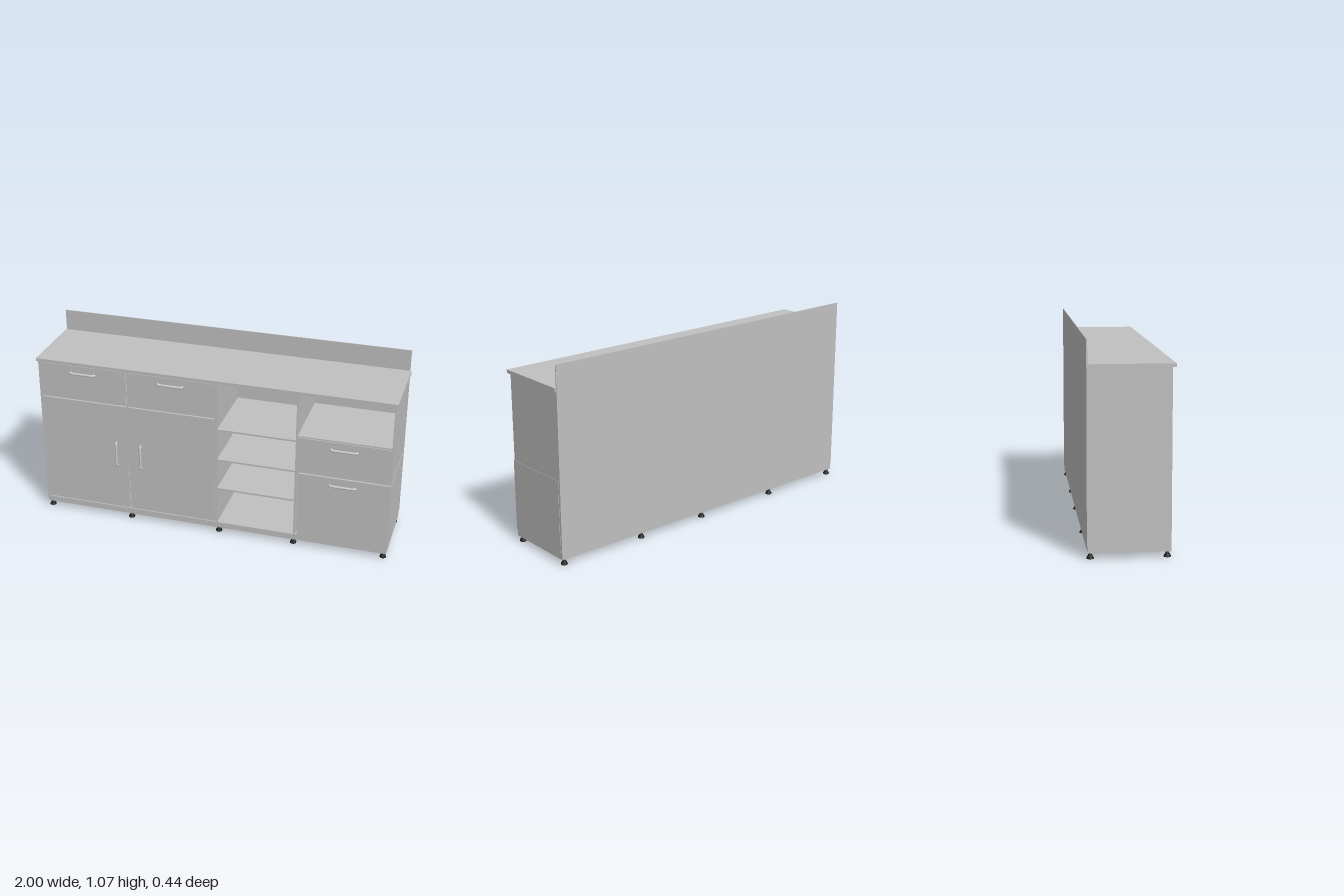
import * as THREE from 'three';

export function createModel() {
  const group = new THREE.Group();
  const cabinetGrey = new THREE.MeshStandardMaterial({ color: 0xc0c0c0 });
  const handleGrey = new THREE.MeshStandardMaterial({ color: 0xcccccc });
  const footBlack = new THREE.MeshStandardMaterial({ color: 0x222222 });

  const add = (name, geometry, material) => {
    const mesh = new THREE.Mesh(geometry, material);
    mesh.name = name;
    group.add(mesh);
    return mesh;
  };
  // Box given by its limits on each axis
  const box = (name, x0, x1, y0, y1, z0, z1) =>
    add(name, new THREE.BoxGeometry(x1 - x0, y1 - y0, z1 - z0), cabinetGrey)
      .position.set((x0 + x1) / 2, (y0 + y1) / 2, (z0 + z1) / 2);

  // Plinths, worktop and tall back panel
  box('leftPlinth', -0.997, 0.03, 0.03, 0.064, -0.213, 0.195);
  box('rightPlinth', 0.031, 0.99, 0.03, 0.064, -0.213, 0.195);
  box('worktop', -1, 1, 0.93, 0.948, -0.212, 0.213);
  box('backPanel', -0.997, 0.993, 0.066, 1.066, -0.217, -0.212);

  // Side panels and partitions
  box('rightSidePanel', -0.997, -0.986, 0.064, 0.93, -0.212, 0.195);
  box('leftSidePanel', 0.983, 0.99, 0.064, 0.93, -0.212, 0.195);
  box('doorPartition', -0.486, -0.477, 0.064, 0.93, -0.212, 0.185);
  box('shelfPartition', 0.022, 0.032, 0.064, 0.93, -0.212, 0.195);
  box('drawerPartition', 0.469, 0.478, 0.064, 0.93, -0.212, 0.195);

  // Open shelves
  for (const y of [0.28, 0.462, 0.647]) {
    box('shelf', 0.032, 0.469, y - 0.005, y + 0.005, -0.212, 0.194);
  }
  box('nicheShelf', 0.478, 0.983, 0.674, 0.682, -0.212, 0.195);
  box('drawerDivider', 0.478, 0.983, 0.458, 0.465, -0.212, 0.19);
  box('leftDrawerDivider', -0.986, 0.022, 0.71, 0.718, -0.212, 0.183);

  // Doors and upper drawer fronts
  for (const [x0, x1] of [[-0.982, -0.488], [-0.476, 0.018]]) {
    box('door', x0, x1, 0.069, 0.711, 0.184, 0.196);
    box('drawerFront', x0, x1, 0.719, 0.92, 0.184, 0.196);
  }
  // Drawers in the end bay; the lower one is full depth
  box('middleDrawer', 0.481, 0.98, 0.468, 0.672, -0.2, 0.197);
  box('lowerDrawer', 0.49, 0.992, 0.066, 0.457, -0.2, 0.2);

  // Bow handles with bent ends
  const bow = new THREE.CurvePath();
  const points = [[-0.07, -0.006], [-0.07, 0.01], [-0.062, 0.0145], [0.062, 0.0145], [0.07, 0.01], [0.07, -0.006]]
    .map(([x, z]) => new THREE.Vector3(x, 0, z));
  for (let i = 1; i < points.length; i++) bow.add(new THREE.LineCurve3(points[i - 1], points[i]));
  const handleGeometry = new THREE.TubeGeometry(bow, 40, 0.007, 8, false);
  const handle = (x, y, upright) => {
    const mesh = add('handle', handleGeometry, handleGrey);
    mesh.position.set(x, y, 0.196);
    if (upright) mesh.rotation.z = Math.PI / 2;
  };
  handle(-0.735, 0.88);
  handle(-0.23, 0.88);
  handle(0.732, 0.63);
  handle(0.732, 0.413);
  handle(-0.553, 0.41, true);
  handle(-0.411, 0.41, true);

  // Flared feet
  const footGeometry = new THREE.LatheGeometry(
    [[0, 0], [0.018, 0], [0.018, 0.005], [0.008, 0.022], [0.008, 0.031]]
      .map(([r, y]) => new THREE.Vector2(r, y)), 16);
  for (const x of [-0.977, -0.486, 0.038, 0.468, 0.971]) {
    for (const z of [-0.2, 0.177]) {
      add('foot', footGeometry, footBlack).position.set(x, 0, z);
    }
  }
  return group;
}
